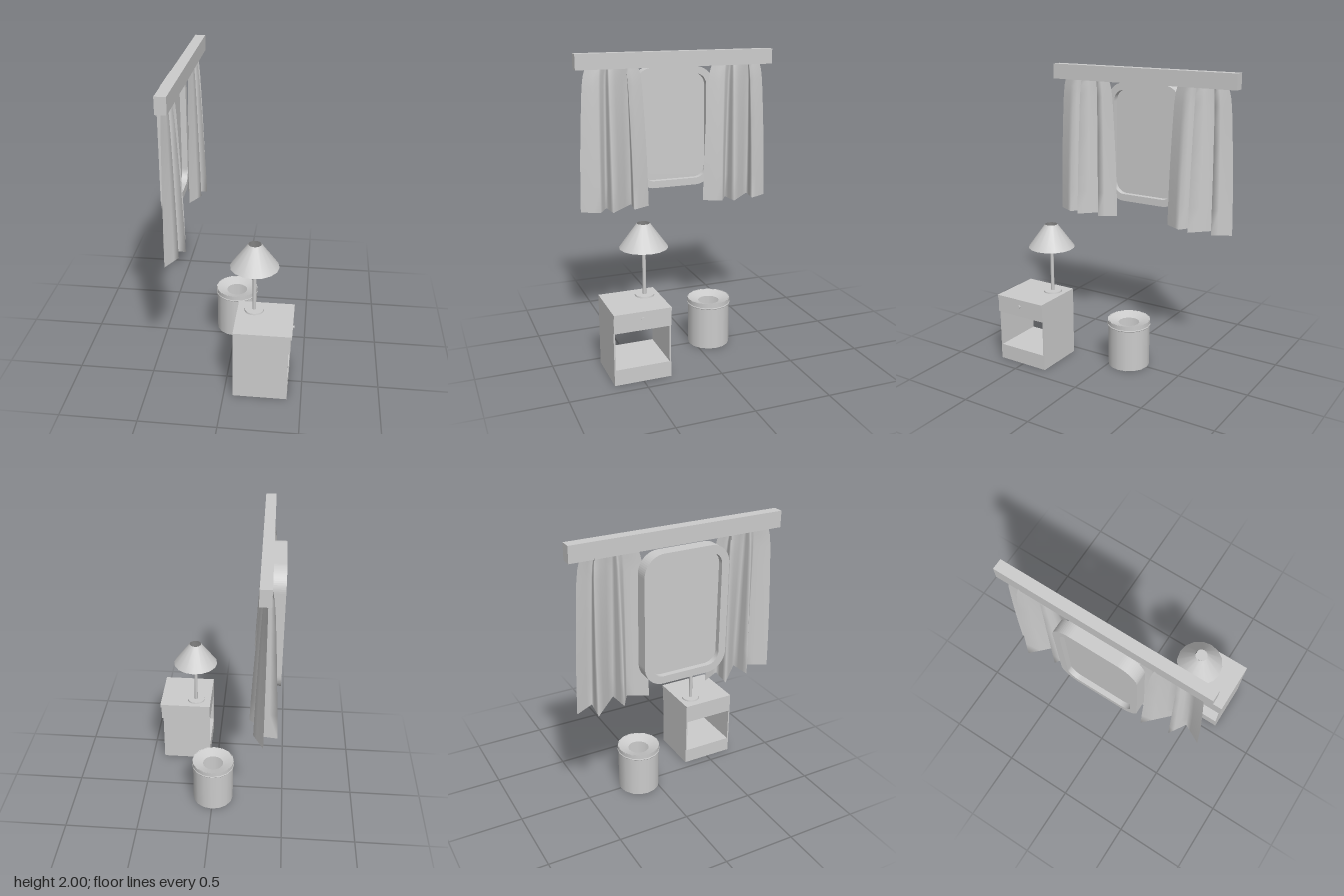
import * as THREE from 'three';

const grey = new THREE.MeshStandardMaterial({ color: 0xcccccc });
const greyThin = new THREE.MeshStandardMaterial({ color: 0xcccccc, side: THREE.DoubleSide });

function add(parent, name, geometry, material = grey) {
  const mesh = new THREE.Mesh(geometry, material);
  mesh.name = name;
  parent.add(mesh);
  return mesh;
}

// Box given by its minimum and maximum corners
function box(parent, name, [x0, y0, z0], [x1, y1, z1]) {
  const mesh = add(parent, name, new THREE.BoxGeometry(x1 - x0, y1 - y0, z1 - z0));
  mesh.position.set((x0 + x1) / 2, (y0 + y1) / 2, (z0 + z1) / 2);
  return mesh;
}

function roundedRect(w, h, r, target = new THREE.Shape()) {
  const a = w / 2 - r, b = h / 2 - r;
  target.moveTo(a, -b - r);
  target.absarc(a, -b, r, -Math.PI / 2, 0);
  target.absarc(a, b, r, 0, Math.PI / 2);
  target.absarc(-a, b, r, Math.PI / 2, Math.PI);
  target.absarc(-a, -b, r, Math.PI, Math.PI * 1.5);
  target.closePath();
  return target;
}

function createWindow() {
  const group = new THREE.Group();
  group.name = 'window';
  const outline = roundedRect(0.57, 0.84, 0.13);
  outline.holes.push(roundedRect(0.47, 0.74, 0.08, new THREE.Path()));
  const frame = new THREE.ExtrudeGeometry(outline, { depth: 0.085, bevelEnabled: false, curveSegments: 8 });
  add(group, 'windowFrame', frame);
  const pane = new THREE.ExtrudeGeometry(roundedRect(0.47, 0.74, 0.08), { depth: 0.01, bevelEnabled: false, curveSegments: 8 });
  add(group, 'windowPane', pane).position.z = 0.035;
  group.rotation.y = Math.PI / 2;
  group.position.set(-0.445, 1.47, 0);
  return group;
}

// Pleated sheet: a zigzag hem that gathers towards the top
function curtainGeometry() {
  const hem = [[-0.01, -0.245], [0.055, -0.12], [-0.093, -0.14], [0.085, 0.038],
    [-0.055, 0.05], [0.055, 0.12], [-0.01, 0.243]];
  // height, pleat depth scale, width scale
  const rows = [[0.93, 1, 1], [1.1, 0.93, 0.985], [1.3, 0.82, 0.96], [1.5, 0.7, 0.92],
    [1.65, 0.6, 0.885], [1.78, 0.5, 0.85], [1.85, 0.42, 0.81], [1.91, 0.3, 0.74]];
  const steps = 3, columns = (hem.length - 1) * steps + 1;
  const positions = [], index = [];
  rows.forEach(([y, depth, width], r) => {
    for (let c = 0; c < columns; c++) {
      const i = Math.min(Math.floor(c / steps), hem.length - 2), t = c / steps - i;
      const x = THREE.MathUtils.lerp(hem[i][0], hem[i + 1][0], t);
      const z = THREE.MathUtils.lerp(hem[i][1], hem[i + 1][1], t);
      positions.push(x * depth, y, z * width);
      if (r && c) {
        const d = r * columns + c, b = d - columns;
        index.push(b - 1, d - 1, b, b, d - 1, d);
      }
    }
  });
  const geometry = new THREE.BufferGeometry();
  geometry.setAttribute('position', new THREE.Float32BufferAttribute(positions, 3));
  geometry.setIndex(index);
  geometry.computeVertexNormals();
  return geometry;
}

function createNightstand() {
  const group = new THREE.Group();
  group.name = 'nightstand';
  box(group, 'base', [0.06, 0, 0.315], [0.41, 0.105, 0.69]);
  box(group, 'rightSide', [0.06, 0.105, 0.68], [0.41, 0.46, 0.69]);
  box(group, 'leftSide', [0.06, 0.105, 0.315], [0.41, 0.46, 0.325]);
  box(group, 'drawerBody', [0.06, 0.35, 0.325], [0.41, 0.46, 0.68]);
  box(group, 'drawerFront', [0.41, 0.36, 0.315], [0.422, 0.46, 0.69]);
  box(group, 'tabletop', [0.06, 0.46, 0.315], [0.43, 0.482, 0.69]);
  const stem = add(group, 'knobStem', new THREE.CylinderGeometry(0.005, 0.005, 0.012, 10));
  const knob = add(group, 'knob', new THREE.CylinderGeometry(0.011, 0.011, 0.008, 12));
  stem.rotation.z = knob.rotation.z = -Math.PI / 2;
  stem.position.set(0.427, 0.433, 0.503);
  knob.position.set(0.435, 0.433, 0.503);
  return group;
}

function createLamp() {
  const group = new THREE.Group();
  group.name = 'lamp';
  add(group, 'lampFoot', new THREE.CylinderGeometry(0.062, 0.064, 0.01, 16)).position.y = 0.487;
  add(group, 'lampPole', new THREE.CylinderGeometry(0.012, 0.012, 0.4, 12)).position.y = 0.69;
  add(group, 'lampShade', new THREE.CylinderGeometry(0.042, 0.158, 0.16, 16, 1, true), greyThin).position.y = 0.89;
  group.position.set(0.17, 0, 0.41);
  return group;
}

// Open shell with a raised band and a shallow funnel lid
function createBin() {
  const group = new THREE.Group();
  group.name = 'bin';
  const cone = (name, rTop, rBottom, yTop, yBottom) => {
    const geometry = new THREE.CylinderGeometry(rTop, rBottom, yTop - yBottom, 16, 1, true);
    add(group, name, geometry, greyThin).position.y = (yTop + yBottom) / 2;
  };
  cone('binBody', 0.143, 0.143, 0.33, 0);
  cone('binLidSide', 0.147, 0.147, 0.33, 0.302);
  cone('binLidFunnel', 0.147, 0.072, 0.33, 0.305);
  const band = add(group, 'binBand', new THREE.TorusGeometry(0.145, 0.005, 6, 16));
  band.rotation.x = Math.PI / 2;
  band.position.y = 0.295;
  group.position.set(0, 0, -0.11);
  return group;
}

export function createModel() {
  const model = new THREE.Group();
  model.name = 'bedroomSet';
  box(model, 'pelmet', [-0.365, 1.895, -0.71], [-0.295, 2, 0.705]);
  model.add(createWindow());

  // Matching pair of curtains
  const cloth = curtainGeometry();
  for (const [name, z] of [['leftCurtain', -0.452], ['rightCurtain', 0.448]]) {
    add(model, name, cloth, greyThin).position.set(-0.34, 0, z);
  }

  model.add(createNightstand(), createLamp(), createBin());
  return model;
}
